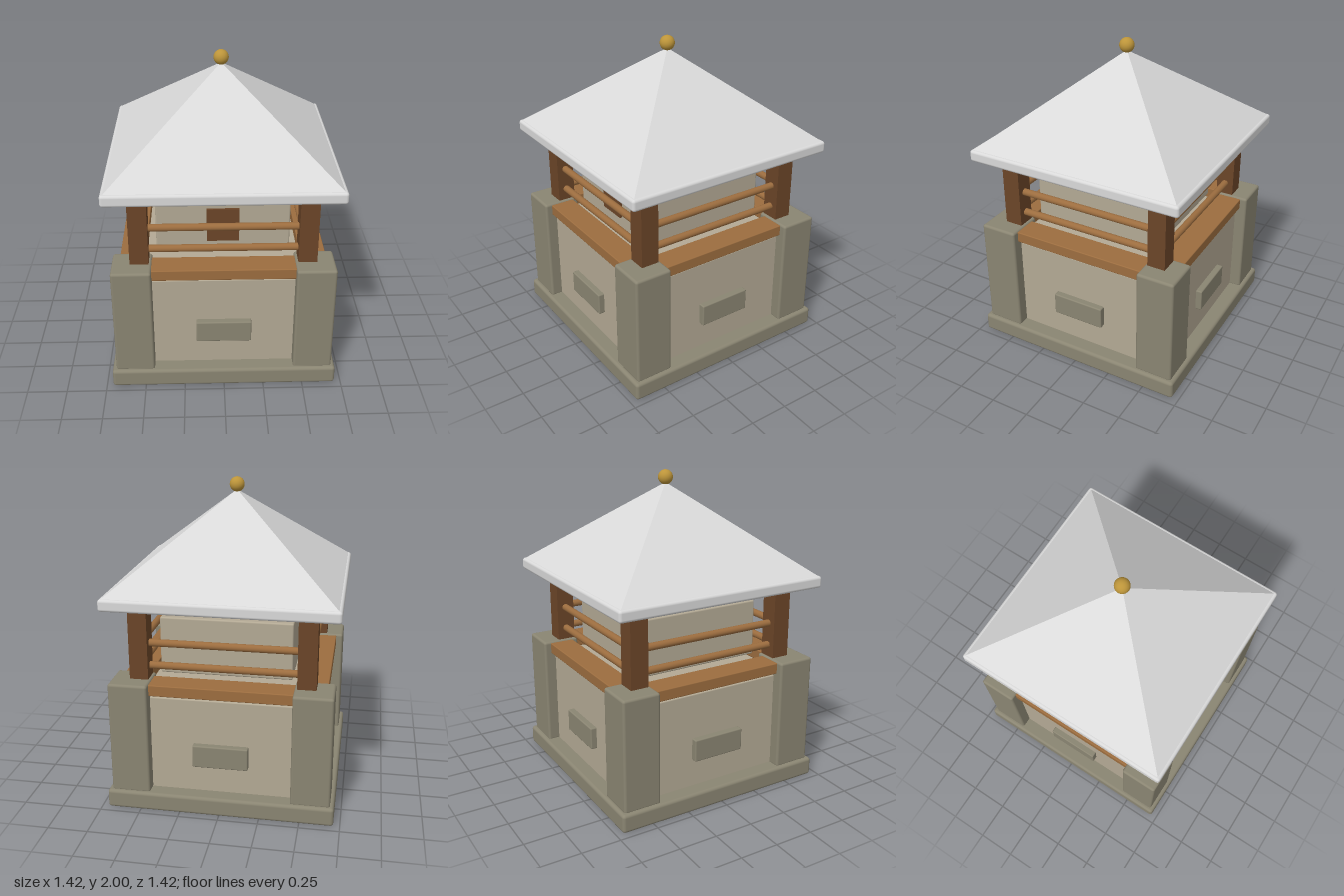
import * as THREE from 'three';
import { RoundedBoxGeometry } from 'three/addons/geometries/RoundedBoxGeometry.js';

const mat = (name, color) => {
  const m = new THREE.MeshStandardMaterial({ color });
  m.name = name;
  return m;
};

export function createModel() {
  const darkStone = mat('dark stone', 0x8a8572);
  const paleStone = mat('pale stone', 0xb3a994);
  const darkWood = mat('dark wood', 0x6b4528);
  const lightWood = mat('light wood', 0x9c6d3f);
  const roofGrey = mat('roof grey', 0xd9d9d9);
  const gold = mat('gold', 0xbd953a);

  const model = new THREE.Group();
  model.name = 'watchHouse';

  const add = (parent, name, geometry, material, x = 0, y = 0, z = 0) => {
    const mesh = new THREE.Mesh(geometry, material);
    mesh.name = name;
    mesh.position.set(x, y, z);
    parent.add(mesh);
    return mesh;
  };
  // Softly rounded block placed by its bottom and top heights
  const block = (parent, name, material, w, d, bottom, top, r, x = 0, z = 0) =>
    add(parent, name, new RoundedBoxGeometry(w, top - bottom, d, 3, r), material, x, (bottom + top) / 2, z);

  // Foundation, lower walls and inner room
  block(model, 'foundation', darkStone, 1.42, 1.42, 0, 0.12, 0.02);
  block(model, 'lowerWalls', paleStone, 1.22, 1.22, 0.11, 0.737, 0.008);
  block(model, 'innerRoom', paleStone, 0.83, 0.83, 0.825, 1.19, 0.01);
  add(model, 'door', new THREE.BoxGeometry(0.2, 0.22, 0.04), darkWood, 0, 1.02, 0.412);

  // Corner buttresses with the posts that carry the roof
  for (const sx of [-1, 1]) {
    for (const sz of [-1, 1]) {
      block(model, 'cornerButtress', darkStone, 0.245, 0.245, 0.11, 0.835, 0.016, sx * 0.5625, sz * 0.5625);
      add(model, 'roofPost', new THREE.BoxGeometry(0.116, 0.52, 0.116), darkWood, sx * 0.515, 1.06, sz * 0.515);
    }
  }

  // Sill, two rails and a stone plate repeated on each side
  for (let i = 0; i < 4; i++) {
    const side = new THREE.Group();
    side.name = 'side' + (i + 1);
    side.rotation.y = (i * Math.PI) / 2;
    block(side, 'sill', lightWood, 0.89, 0.16, 0.755, 0.826, 0.006, 0, 0.56);
    block(side, 'stonePlate', darkStone, 0.345, 0.06, 0.3, 0.445, 0.008, 0, 0.62);
    for (const y of [0.912, 1.058]) {
      const rail = add(side, 'rail', new THREE.CylinderGeometry(0.023, 0.023, 0.92, 16), lightWood, 0, y, 0.515);
      rail.rotation.z = Math.PI / 2;
    }
    model.add(side);
  }

  // Roof: eave slab, four-sided pyramid and finial ball
  block(model, 'eaves', roofGrey, 1.42, 1.42, 1.3, 1.375, 0.018);
  const pyramid = new THREE.ConeGeometry(0.697 * Math.SQRT2, 0.55, 4, 1).toNonIndexed();
  pyramid.rotateY(Math.PI / 4);
  pyramid.computeVertexNormals();
  add(model, 'roofPyramid', pyramid, roofGrey, 0, 1.645, 0);
  add(model, 'finial', new THREE.SphereGeometry(0.047, 24, 16), gold, 0, 1.953, 0);

  return model;
}
